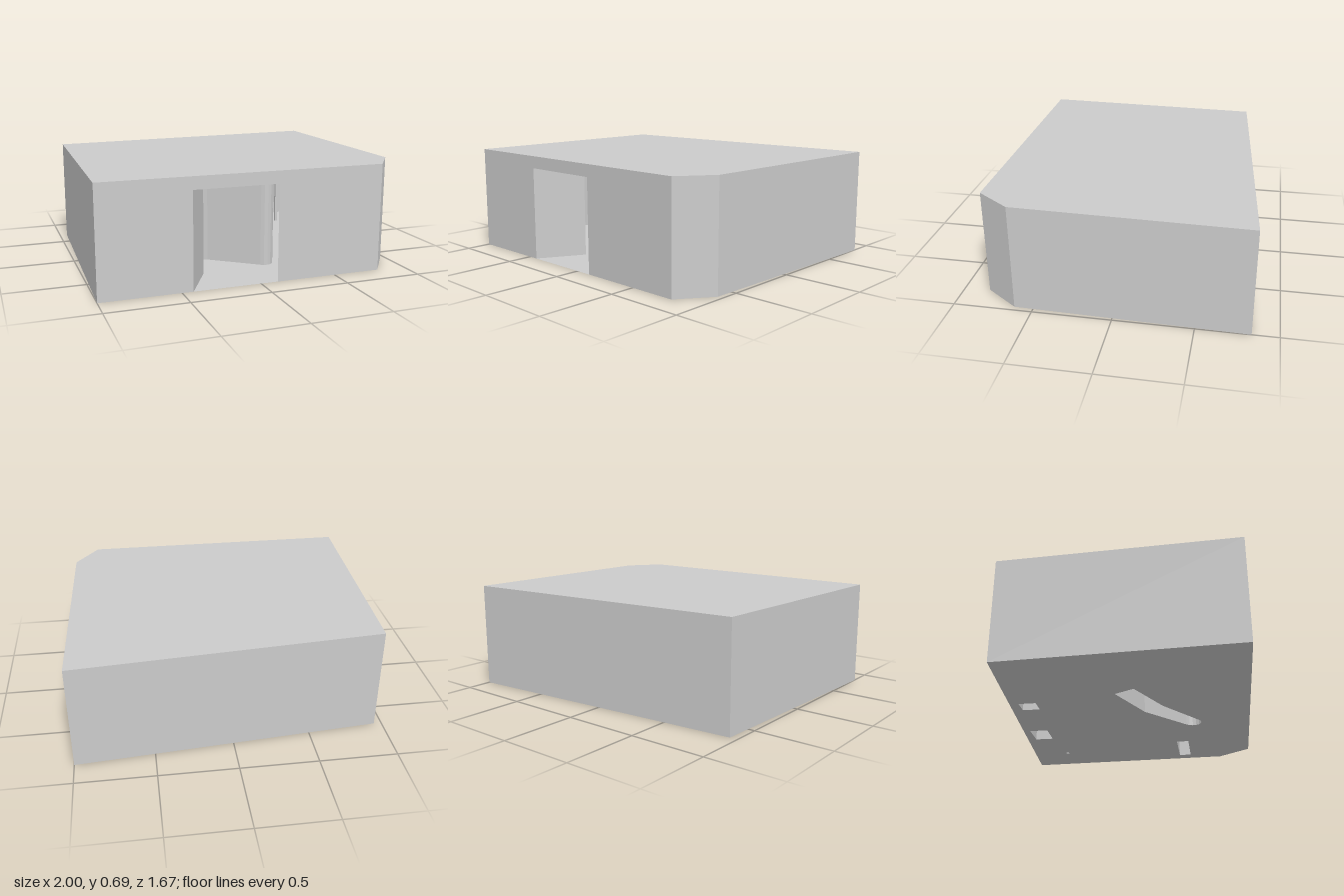
import * as THREE from 'three';
import { mergeGeometries } from 'three/addons/utils/BufferGeometryUtils.js';

const HEIGHT = 0.69, DOOR_HEIGHT = 0.61, FRONT = 0.835;
const material = new THREE.MeshStandardMaterial({ color: 0xcccccc, side: THREE.DoubleSide });

function add(group, name, geometry) {
  const mesh = new THREE.Mesh(geometry, material);
  mesh.name = name;
  group.add(mesh);
  return mesh;
}

// Upright panel between two plan points [x, z]
function panel([x0, z0], [x1, z1], height = HEIGHT) {
  const g = new THREE.PlaneGeometry(Math.hypot(x1 - x0, z1 - z0), height);
  g.rotateY(-Math.atan2(z1 - z0, x1 - x0));
  g.translate((x0 + x1) / 2, height / 2, (z0 + z1) / 2);
  return g;
}

// Ring of panels along a closed plan outline
const ring = (pts) => mergeGeometries(pts.map((p, i) => panel(p, pts[(i + 1) % pts.length])));

// Plan points to 2D points; y is -z so the sheet can be laid flat
const plan = (pts) => pts.map(([x, z]) => new THREE.Vector2(x, -z));

// Horizontal sheet, optionally pierced by hollow pillars
function sheet(outline, holes, y) {
  const shape = new THREE.Shape(plan(outline));
  holes.forEach((h) => shape.holes.push(new THREE.Path(plan(h))));
  const g = new THREE.ShapeGeometry(shape);
  g.rotateX(-Math.PI / 2);
  g.translate(0, y, 0);
  return g;
}

const rect = (x0, x1, z0, z1) => [[x0, z1], [x1, z1], [x1, z0], [x0, z0]];

export function createModel() {
  const model = new THREE.Group();
  model.name = 'building';

  const outline = [[-1, FRONT], [0.81, FRONT], [0.965, 0.62], [1, -0.835], [-0.95, -0.68]];

  // Bent partition with a rounded end
  const bent = [[-0.456, 0.109], [-0.15, 0.265]];
  const start = Math.atan2(0.045, -0.04);
  for (let i = 0; i <= 8; i++) {
    const a = start - (Math.PI * i) / 8;
    bent.push([0.18 + 0.06 * Math.cos(a), 0.445 + 0.06 * Math.sin(a)]);
  }
  bent.push([-0.06, 0.135], [-0.39, -0.02]);

  const pillars = {
    bentPartition: bent,
    sidePillar: rect(0.57, 0.89, 0.305, 0.39),
    backPillar: rect(0.2, 0.38, -0.725, -0.6),
    smallBackPillar: rect(-0.31, -0.2, -0.67, -0.555),
    post: rect(0.71, 0.73, -0.57, -0.55),
  };

  // Floor and roof
  add(model, 'floor', sheet(outline, Object.values(pillars), 0));
  add(model, 'roof', sheet(outline, [], HEIGHT));

  // Outer walls other than the front
  ['chamferWall', 'leftWall', 'backWall', 'rightWall'].forEach((name, i) =>
    add(model, name, panel(outline[i + 1], outline[(i + 2) % 5])));

  // Front wall with the doorway cut out
  const front = new THREE.Shape([
    [-1, 0], [-0.43, 0], [-0.43, DOOR_HEIGHT], [0.11, DOOR_HEIGHT],
    [0.11, 0], [0.81, 0], [0.81, HEIGHT], [-1, HEIGHT],
  ].map(([x, y]) => new THREE.Vector2(x, y)));
  add(model, 'frontWall', new THREE.ShapeGeometry(front)).position.z = FRONT;

  // Slanted wall leading in from the doorway
  add(model, 'entranceWall', panel([-0.43, FRONT], [-0.27, 0.54], DOOR_HEIGHT));

  // Hollow pillars from floor to roof
  for (const [name, pts] of Object.entries(pillars)) add(model, name, ring(pts));

  return model;
}
